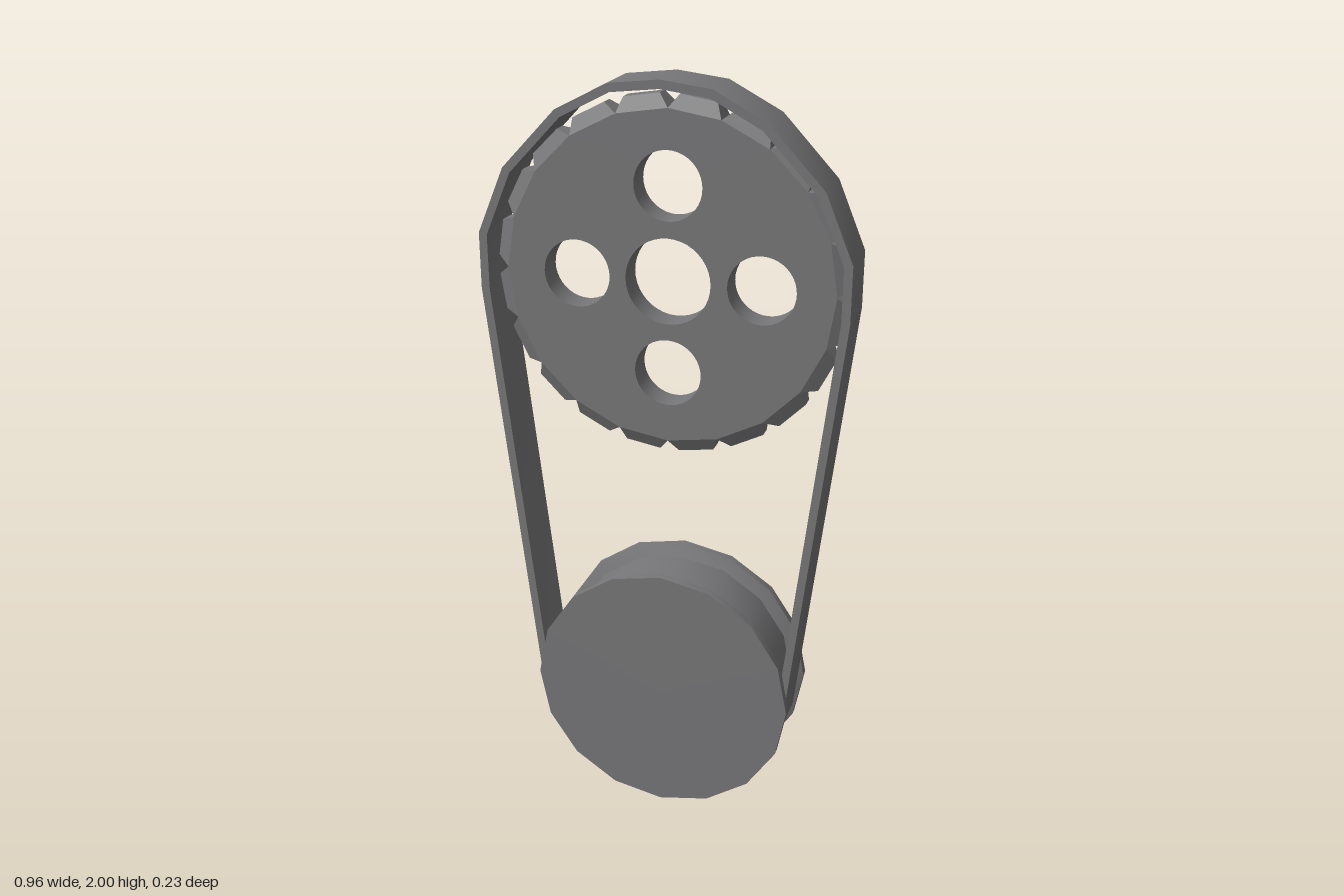
import * as THREE from 'three';
import { toCreasedNormals } from 'three/addons/utils/BufferGeometryUtils.js';

const CREASE = 0.6;

// Extrude a shape along z, centred on z = 0
function slab(shape, depth, crease) {
  const g = new THREE.ExtrudeGeometry(shape, { depth, bevelEnabled: false, curveSegments: 20 });
  g.translate(0, 0, -depth / 2);
  return toCreasedNormals(g, crease);
}

// Move a closed counter-clockwise outline inwards by d
function inset(points, d) {
  const n = points.length;
  return points.map((p, i) => {
    const a = p.clone().sub(points[(i + n - 1) % n]).normalize();
    const b = points[(i + 1) % n].clone().sub(p).normalize();
    const t = a.add(b).normalize();
    return new THREE.Vector2(p.x - t.y * d, p.y + t.x * d);
  });
}

export function createModel() {
  const model = new THREE.Group();
  const metal = new THREE.MeshStandardMaterial({ color: 0x777779 });
  metal.name = 'grey metal';
  const add = (name, geometry, parent = model) => {
    const mesh = new THREE.Mesh(geometry, metal);
    mesh.name = name;
    parent.add(mesh);
    return mesh;
  };

  // Belt: left half of the outline from top to bottom, mirrored, with a constant thickness
  const half = [
    [0, 2], [-0.13, 1.985], [-0.265, 1.915], [-0.407, 1.765], [-0.479, 1.595],
    [-0.479, 1.45], [-0.346, 0.27], [-0.26, 0.128], [-0.13, 0.036], [0, 0.01],
  ];
  const mirrored = half.slice(1, -1).reverse().map(([x, y]) => [-x, y]);
  const outline = [...half, ...mirrored].map(([x, y]) => new THREE.Vector2(x, y));
  const beltShape = new THREE.Shape(outline);
  beltShape.holes.push(new THREE.Path(inset(outline, 0.022).reverse()));
  add('belt', slab(beltShape, 0.143, CREASE)).position.z = -0.002;

  // Toothed wheel with a bore and four lightening holes, set towards the front of the belt
  const teeth = 20;
  const radius = 0.425;
  const thickness = 0.074;
  const wheel = new THREE.Group();
  wheel.name = 'toothedWheel';
  wheel.position.set(0.017, 1.508, 0.018);
  model.add(wheel);

  const rim = Array.from({ length: teeth }, (_, i) => {
    const a = (i / teeth) * Math.PI * 2;
    return new THREE.Vector2(radius * Math.cos(a), radius * Math.sin(a));
  });
  const disc = new THREE.Shape(rim);
  const cut = (x, y, r) => disc.holes.push(new THREE.Path().absarc(x, y, r, 0, Math.PI * 2));
  cut(0, 0, 0.11);
  for (let i = 0; i < 4; i++) {
    const a = (i * Math.PI) / 2;
    cut(0.239 * Math.cos(a), 0.239 * Math.sin(a), 0.087);
  }
  add('wheelDisc', slab(disc, thickness, CREASE), wheel);

  // Teeth: one on each rim facet, tapered towards the tip in both directions
  const apothem = radius * Math.cos(Math.PI / teeth);
  const height = 0.455 - apothem;
  const width = 2 * radius * Math.sin(Math.PI / teeth);
  const tooth = new THREE.BoxGeometry(width, height, thickness).toNonIndexed();
  const pos = tooth.attributes.position;
  for (let i = 0; i < pos.count; i++) {
    if (pos.getY(i) > 0) {
      pos.setX(i, pos.getX(i) * 0.7);
      pos.setZ(i, pos.getZ(i) * 0.5);
    }
  }
  tooth.translate(0, apothem + height / 2, 0);
  tooth.computeVertexNormals();
  for (let i = 0; i < teeth; i++) {
    add('tooth', tooth, wheel).rotation.z = ((i + 0.5) / teeth) * Math.PI * 2;
  }

  // Flanged roller with a groove for the belt
  const profile = [
    [0, -0.113], [0.355, -0.113], [0.355, -0.09], [0.322, -0.078],
    [0.322, 0.078], [0.355, 0.09], [0.355, 0.113], [0, 0.113],
  ].map(([r, h]) => new THREE.Vector2(r, h));
  const roller = new THREE.LatheGeometry(profile, 16);
  roller.rotateX(Math.PI / 2);
  add('roller', toCreasedNormals(roller, CREASE)).position.set(0.014, 0.355, 0);

  return model;
}
